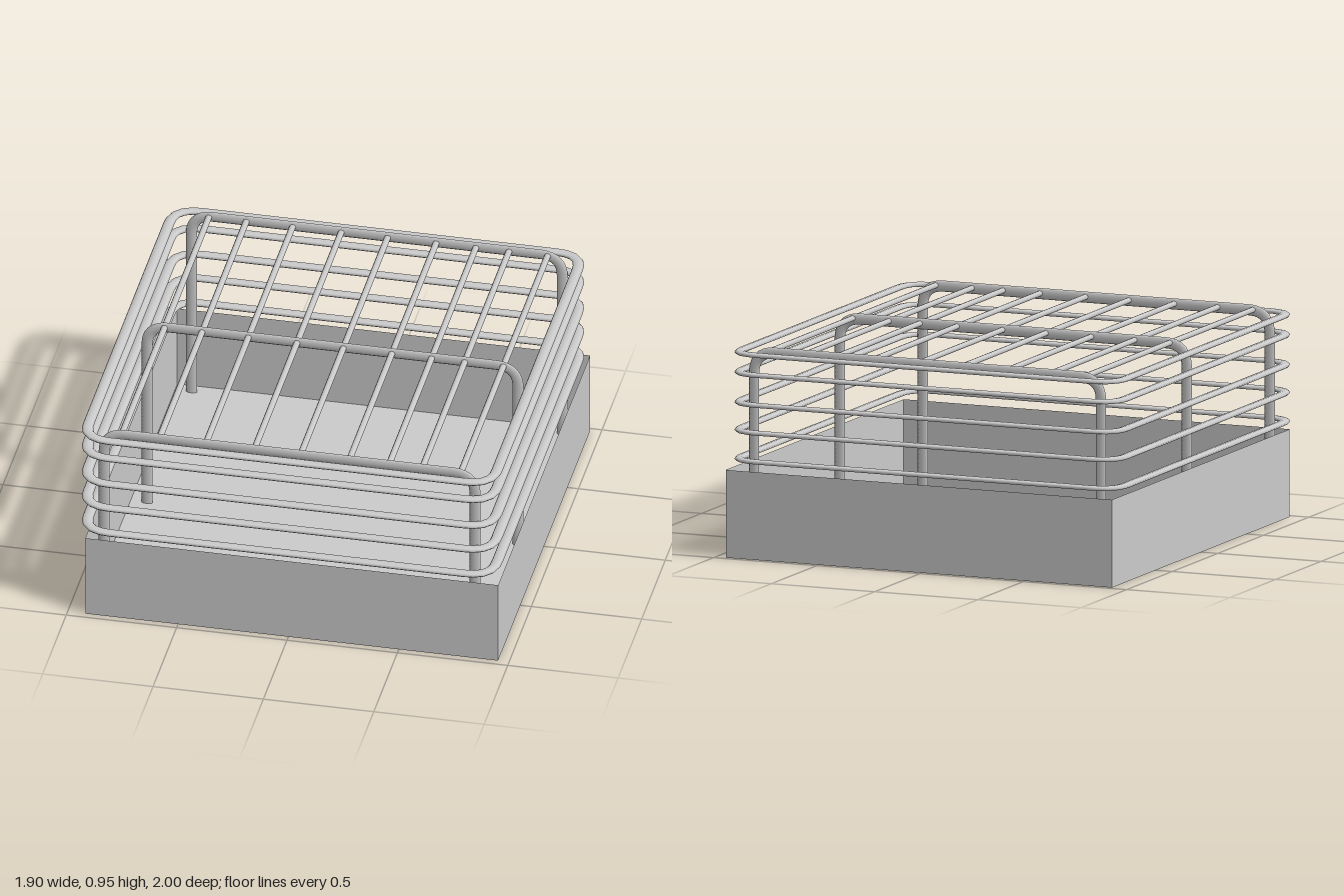
import * as THREE from 'three';

const material = new THREE.MeshStandardMaterial({ color: 0xcccccc });
const sheetMaterial = new THREE.MeshStandardMaterial({ color: 0xcccccc, side: THREE.DoubleSide });

function addMesh(parent, name, geometry, mat = material) {
  const mesh = new THREE.Mesh(geometry, mat);
  mesh.name = name;
  parent.add(mesh);
  return mesh;
}

// Path through corner points, each corner rounded with radius r
function roundedPath(points, r, closed) {
  const path = new THREE.CurvePath();
  const pts = points.map(([x, y]) => new THREE.Vector3(x, y, 0));
  const n = pts.length;
  const toward = (a, b) => a.clone().add(b.clone().sub(a).setLength(r));
  let last = closed ? toward(pts[0], pts[1]) : pts[0];
  const start = last;
  for (let i = 1; i < (closed ? n + 1 : n - 1); i++) {
    const p = pts[i % n];
    const enter = toward(p, pts[i - 1]);
    const leave = toward(p, pts[(i + 1) % n]);
    path.add(new THREE.LineCurve3(last, enter));
    path.add(new THREE.QuadraticBezierCurve3(enter, p, leave));
    last = leave;
  }
  if (!closed) path.add(new THREE.LineCurve3(last, pts[n - 1]));
  else last.copy(start);
  return path;
}

// Flattened rod: wide in the plane of its path, thin across it
function flatRod(points, r, closed, thickness) {
  const width = 0.05;
  return new THREE.TubeGeometry(roundedPath(points, r, closed), 180, width / 2, 8, closed)
    .scale(1, 1, thickness / width);
}

export function createModel() {
  const group = new THREE.Group();
  group.name = 'wireBasketTray';

  // Thin-walled tray, open at the top
  const tray = new THREE.BoxGeometry(1.87, 0.395, 1.95);
  const index = Array.from(tray.index.array);
  index.splice(12, 6); // drop the top face
  tray.setIndex(index);
  tray.clearGroups();
  addMesh(group, 'tray', tray, sheetMaterial).position.set(0.015, 0.1975, -0.005);

  // Horizontal hoops around the basket
  const hoop = flatRod(
    [[-0.925, -0.975], [0.925, -0.975], [0.925, 0.975], [-0.925, 0.975]], 0.12, true, 0.023
  ).rotateX(-Math.PI / 2);
  [0.44, 0.57, 0.695, 0.83, 0.92].forEach((y, i) => {
    addMesh(group, 'hoop' + (i + 1), hoop).position.set(-0.005, y, 0);
  });

  // Upright arches standing on the tray floor
  const arch = flatRod([[-0.84, 0], [-0.84, 0.928], [0.84, 0.928], [0.84, 0]], 0.1, false, 0.02);
  [['backArch', -0.93], ['middleArch', 0.01], ['frontArch', 0.92]].forEach(([name, z]) => {
    addMesh(group, name, arch).position.set(-0.005, 0, z);
  });

  // Bars across the top, from the back arch to the front arch
  const bar = new THREE.CylinderGeometry(0.015, 0.015, 1.84, 8).rotateX(Math.PI / 2).scale(1, 0.85, 1);
  [-0.765, -0.595, -0.385, -0.165, 0.045, 0.265, 0.445, 0.595, 0.77].forEach((x, i) => {
    addMesh(group, 'topBar' + (i + 1), bar).position.set(x, 0.93, 0);
  });

  return group;
}
